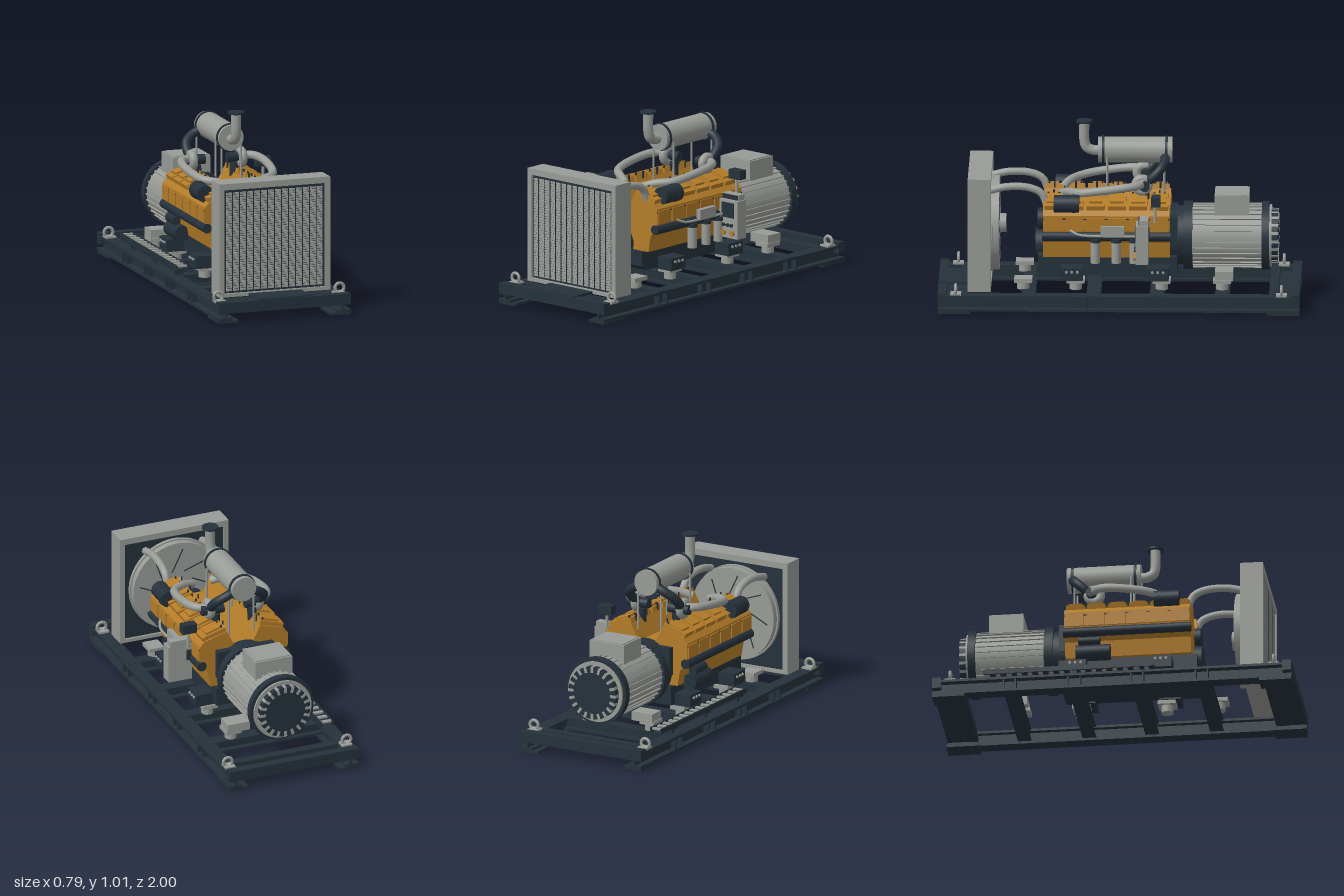
import * as THREE from 'three';

const mat = (name, color) => Object.assign(new THREE.MeshStandardMaterial({ color }), { name });

export function createModel() {
  const dark = mat('dark steel', 0x25313b);
  const grey = mat('light grey', 0x989b96);
  const gold = mat('engine gold', 0xb37c28);
  const model = new THREE.Group();
  model.name = 'generatorSet';
  const SIDES = [-1, 1];

  let parent = model;
  const part = (name, build) => {
    parent = new THREE.Group();
    parent.name = name;
    parent.position.x = -0.008;
    model.add(parent);
    build();
  };
  const add = (name, geo, m, x = 0, y = 0, z = 0) => {
    const mesh = new THREE.Mesh(geo, m);
    mesh.name = name;
    mesh.position.set(x, y, z);
    parent.add(mesh);
    return mesh;
  };
  const box = (name, m, w, h, d, x, y, z) => add(name, new THREE.BoxGeometry(w, h, d), m, x, y, z);
  const cyl = (name, m, r, len, axis, x, y, z, seg = 32) => {
    const g = new THREE.CylinderGeometry(r, r, len, seg);
    if (axis === 'x') g.rotateZ(Math.PI / 2);
    if (axis === 'z') g.rotateX(Math.PI / 2);
    return add(name, g, m, x, y, z);
  };
  const tube = (name, m, r, pts) => {
    const curve = new THREE.CatmullRomCurve3(pts.map(p => new THREE.Vector3(...p)));
    return add(name, new THREE.TubeGeometry(curve, 40, r, 16), m);
  };
  const extrude = (name, m, pts, depth, z, hole) => {
    const shape = new THREE.Shape(pts.map(p => new THREE.Vector2(...p)));
    if (hole) shape.holes.push(new THREE.Path(hole.map(p => new THREE.Vector2(...p))));
    return add(name, new THREE.ExtrudeGeometry(shape, { depth, bevelEnabled: false }), m, 0, 0, z);
  };
  const rect = (x0, y0, x1, y1) => [[x0, y0], [x1, y0], [x1, y1], [x0, y1]];

  // Skid: I-beam rails, cross beams, feet and lifting eyes
  part('skidFrame', () => {
    for (const s of SIDES) {
      box('railTopFlange', dark, 0.08, 0.014, 2, s * 0.348, 0.095, 0);
      box('railBottomFlange', dark, 0.08, 0.014, 2, s * 0.348, 0.022, 0);
      box('railWeb', dark, 0.012, 0.07, 2, s * 0.342, 0.058, 0);
      for (const e of SIDES) {
        box('foot', dark, 0.115, 0.015, 0.18, s * 0.33, 0.0075, e * 0.91);
        const eye = add('liftingEye', new THREE.TorusGeometry(0.026, 0.009, 12, 28), grey, s * 0.356, 0.133, e * 0.9);
        eye.scale.z = 0.9;
        box('eyeBase', grey, 0.06, 0.012, 0.06, s * 0.35, 0.107, e * 0.9);
      }
    }
    for (const e of SIDES) {
      box('endBeam', dark, 0.776, 0.062, 0.05, 0, 0.086, e * 0.975);
      box('innerEndBeam', dark, 0.68, 0.05, 0.05, 0, 0.078, e * 0.855);
      box('endBeamLower', dark, 0.68, 0.014, 0.12, 0, 0.062, e * 0.93);
    }
    for (const z of [0.5, 0.14, -0.21, -0.57]) {
      box('crossBeamTop', dark, 0.76, 0.012, 0.075, 0, 0.098, z);
      box('crossBeamBottom', dark, 0.67, 0.012, 0.075, 0, 0.04, z);
      box('crossBeamWeb', dark, 0.67, 0.06, 0.012, 0, 0.07, z);
      for (const s of SIDES) for (const e of SIDES)
        box('gusset', dark, 0.036, 0.06, 0.008, s * 0.364, 0.058, z + e * 0.034);
    }
    box('radiatorSill', dark, 0.31, 0.014, 0.16, 0, 0.117, 0.91);
  });

  // Vibration mounts
  part('mounts', () => {
    for (const s of SIDES) for (const z of [0.53, 0.24, -0.235, -0.57]) {
      cyl('damper', grey, 0.034, 0.042, 'y', s * 0.2, 0.122, z, 20);
      box('mountPlate', grey, 0.09, 0.022, 0.1, s * 0.2, 0.153, z);
      if (Math.abs(z) > 0.3) continue;
      box('engineBracket', dark, 0.13, 0.07, 0.12, s * 0.215, 0.2, z + 0.02);
      for (const d of [-0.03, 0, 0.03])
        cyl('bracketBolt', grey, 0.008, 0.012, 'x', s * 0.282, 0.215, z + 0.02 + d, 8);
    }
  });

  // Cable tray
  part('cableTray', () => {
    for (const x of [-0.35, -0.283]) box('trayRail', dark, 0.008, 0.028, 0.93, x, 0.152, -0.255);
    for (let i = 0; i < 16; i++) {
      box('trayRung', grey, 0.066, 0.01, 0.022, -0.317, 0.158, -0.7 + i * 0.059);
      box('trayTooth', dark, 0.066, 0.012, 0.03, -0.317, 0.148, -0.67 + i * 0.059);
    }
    for (const z of [-0.57, -0.21, 0.14]) box('trayPost', dark, 0.05, 0.04, 0.02, -0.317, 0.122, z);
  });

  // Radiator with finned core and rear fan shroud
  part('radiator', () => {
    extrude('radiatorCase', grey, rect(-0.325, 0.11, 0.325, 0.75), 0.128, 0.707, rect(-0.295, 0.13, 0.295, 0.715));
    box('corePanel', dark, 0.6, 0.6, 0.1, 0, 0.422, 0.77);
    for (let i = 0; i < 38; i++)
      box('coreFin', grey, 0.566, 0.0112, 0.008, 0, 0.148 + i * 0.0147, 0.824);
    for (let i = 0; i < 13; i++)
      box('coreBar', dark, 0.005, 0.56, 0.007, -0.248 + i * 0.0413, 0.422, 0.8268);
    cyl('fanShroud', grey, 0.262, 0.055, 'z', 0, 0.425, 0.692, 48);
    cyl('shroudRim', grey, 0.27, 0.02, 'z', 0, 0.425, 0.71, 48);
    cyl('fanHub', grey, 0.053, 0.04, 'z', 0, 0.425, 0.648);
    for (let i = 0; i < 8; i++) {
      const a = i * Math.PI / 4;
      const slot = box('bladeEdge', dark, 0.15, 0.006, 0.004, Math.cos(a) * 0.155, 0.425 + Math.sin(a) * 0.155, 0.664);
      slot.rotation.z = a + 0.45;
    }
    for (const s of SIDES)
      tube('coolantPipe', grey, 0.021, [[s * 0.17, 0.65, 0.72], [s * 0.17, 0.672, 0.62], [s * 0.17, 0.668, 0.5],
        [s * 0.17, 0.635, 0.43], [s * 0.17, 0.55, 0.395]]);
  });

  // Engine block, sump and V-shaped cylinder banks
  part('engine', () => {
    const half = [[0.2, 0.28], [0.215, 0.37], [0.25, 0.4], [0.262, 0.45], [0.262, 0.53], [0.235, 0.56], [0.1, 0.6], [0.05, 0.5]];
    const mirrored = half.map(([x, y]) => [-x, y]).reverse();
    extrude('engineBlock', gold, [...half, ...mirrored], 0.7, -0.28);
    const sump = new THREE.Shape([[-0.45, 0.28], [-0.45, 0.2], [-0.42, 0.175], [0.32, 0.175], [0.32, 0.28]]
      .map(p => new THREE.Vector2(...p)));
    const sumpGeo = new THREE.ExtrudeGeometry(sump, { depth: 0.36, bevelEnabled: false });
    sumpGeo.rotateY(Math.PI / 2);
    add('sump', sumpGeo, dark, -0.18, 0, 0);
    cyl('flywheelHousing', dark, 0.165, 0.09, 'z', 0, 0.36, -0.315, 40);
    box('housingTop', dark, 0.34, 0.16, 0.04, 0, 0.42, -0.3);
    cyl('crankPulley', dark, 0.09, 0.05, 'z', 0, 0.31, 0.44);
    cyl('fanPulley', dark, 0.06, 0.04, 'z', 0, 0.45, 0.435);
    for (const s of SIDES) {
      cyl('sideManifold', dark, 0.027, 0.71, 'z', s * 0.25, 0.413, 0.07, 20);
      box('headSeam', dark, 0.004, 0.006, 0.7, s * 0.262, 0.512, 0.07);
      for (let i = 0; i < 6; i++) {
        const z = -0.222 + i * 0.117;
        const cover = box('valveCover', gold, 0.145, 0.075, 0.1, s * 0.165, 0.567, z);
        cover.rotation.z = -s * 0.3;
        const cap = box('valveCoverCap', gold, 0.09, 0.02, 0.075, s * 0.173, 0.606, z);
        cap.rotation.z = -s * 0.3;
        box('headPanel', gold, 0.012, 0.075, 0.1, s * 0.262, 0.482, z);
        for (const d of [-0.03, 0.03])
          cyl('coverBolt', dark, 0.006, 0.016, 'y', s * 0.125, 0.624, z + d, 8);
        cyl('injectorStud', dark, 0.005, 0.04, 'y', s * 0.1, 0.62, z, 8);
      }
      cyl('airFilter', dark, 0.048, 0.14, 'z', s * 0.237, 0.594, 0.29);
      cyl('airFilterBand', dark, 0.051, 0.02, 'z', s * 0.237, 0.594, 0.25);
    }
  });

  // Side equipment: oil filters, controller, fuel pipe and starter
  part('sideEquipment', () => {
    for (const z of [0.13, 0.015, -0.085]) {
      cyl('oilFilter', grey, 0.026, 0.12, 'y', 0.265, 0.325, z, 24);
      cyl('oilFilterHead', dark, 0.029, 0.02, 'y', 0.265, 0.393, z, 24);
    }
    box('engineController', grey, 0.03, 0.055, 0.13, 0.285, 0.45, 0.035);
    tube('fuelPipe', grey, 0.007, [[0.27, 0.45, 0.27], [0.29, 0.43, 0.22], [0.29, 0.422, 0.1], [0.29, 0.422, -0.1]]);
    cyl('starterMotor', dark, 0.045, 0.19, 'z', -0.235, 0.29, -0.12, 24);
    cyl('starterSolenoid', dark, 0.025, 0.12, 'z', -0.25, 0.355, -0.14, 20);
  });

  // Exhaust: turbochargers, crossover pipes, silencer and outlet
  part('exhaust', () => {
    for (const s of SIDES) {
      const volute = add('turboVolute', new THREE.TorusGeometry(0.036, 0.024, 16, 32), grey, s * 0.145, 0.68, -0.125);
      volute.rotation.y = Math.PI / 2;
      cyl('turboCore', dark, 0.028, 0.13, 'x', s * 0.13, 0.68, -0.14, 24);
      cyl('turboPedestal', dark, 0.025, 0.1, 'y', s * 0.11, 0.6, -0.14, 20);
      tube('exhaustPipe', dark, 0.026, [[s * 0.03, 0.83, -0.245], [s * 0.09, 0.803, -0.25], [s * 0.14, 0.765, -0.225],
        [s * 0.15, 0.72, -0.18], [s * 0.13, 0.685, -0.14]]);
      tube('chargePipe', grey, 0.023, [[s * 0.15, 0.69, -0.13], [s * 0.2, 0.69, -0.11], [s * 0.23, 0.685, -0.05],
        [s * 0.23, 0.66, 0.14], [s * 0.2, 0.645, 0.225], [s * 0.13, 0.635, 0.28], [s * 0.055, 0.61, 0.32]]);
      for (const z of [0.07, -0.245]) cyl('silencerPost', grey, 0.006, 0.26, 'y', s * 0.074, 0.69, z, 12);
    }
    cyl('silencer', grey, 0.072, 0.41, 'z', 0, 0.845, -0.085, 40);
    for (const z of [0.092, -0.258]) cyl('silencerBand', dark, 0.078, 0.014, 'z', 0, 0.845, z, 40);
    tube('outletPipe', grey, 0.028, [[0, 0.84, 0.11], [0, 0.842, 0.15], [0, 0.86, 0.185], [0, 0.9, 0.197], [0, 1.0, 0.197]]);
    cyl('outletFlange', dark, 0.046, 0.011, 'y', 0, 1.005, 0.197);
  });

  // Alternator with ribbed body, terminal box and vented end cap
  part('alternator', () => {
    const y = 0.36;
    cyl('alternatorBody', grey, 0.172, 0.42, 'z', 0, y, -0.59, 48);
    for (let i = 0; i < 32; i++) {
      const a = i * Math.PI / 16;
      const rib = box('coolingRib', grey, 0.012, 0.008, 0.38, Math.cos(a) * 0.174, y + Math.sin(a) * 0.174, -0.595);
      rib.rotation.z = a;
    }
    cyl('frontRing', dark, 0.19, 0.05, 'z', 0, y, -0.378, 48);
    cyl('rearRing', dark, 0.19, 0.042, 'z', 0, y, -0.807, 48);
    cyl('rearBody', grey, 0.172, 0.02, 'z', 0, y, -0.83, 48);
    cyl('endCap', dark, 0.15, 0.05, 'z', 0, y, -0.85, 40);
    for (let i = 0; i < 20; i++) {
      const a = i * Math.PI / 10;
      const vent = box('endVent', grey, 0.034, 0.016, 0.044, Math.cos(a) * 0.135, y + Math.sin(a) * 0.135, -0.856);
      vent.rotation.z = a;
    }
    box('terminalBox', grey, 0.22, 0.11, 0.19, 0, 0.555, -0.62);
    box('terminalLid', grey, 0.2, 0.01, 0.17, 0, 0.61, -0.62);
    for (const s of SIDES) box('alternatorFoot', grey, 0.13, 0.05, 0.1, s * 0.175, 0.185, -0.58);
  });

  // Control cabinet with screen, buttons and a small sensor box
  part('controlCabinet', () => {
    box('cabinet', grey, 0.14, 0.215, 0.07, 0.331, 0.397, -0.13);
    box('cabinetArm', dark, 0.05, 0.06, 0.04, 0.27, 0.44, -0.15);
    box('consoleHousing', grey, 0.12, 0.032, 0.05, 0.331, 0.52, -0.14);
    box('consoleFace', dark, 0.11, 0.026, 0.006, 0.331, 0.52, -0.113);
    box('screen', dark, 0.09, 0.085, 0.006, 0.331, 0.448, -0.094);
    for (const x of [0.3, 0.33, 0.358]) cyl('button', dark, 0.01, 0.012, 'z', x, 0.363, -0.092, 20);
    for (const x of [0.3, 0.364]) cyl('knob', gold, 0.015, 0.016, 'z', x, 0.32, -0.09, 20);
    cyl('sensorStalk', grey, 0.008, 0.13, 'y', 0.3, 0.57, -0.2, 12);
    box('sensorBox', dark, 0.085, 0.052, 0.05, 0.3, 0.628, -0.205);
  });

  return model;
}
